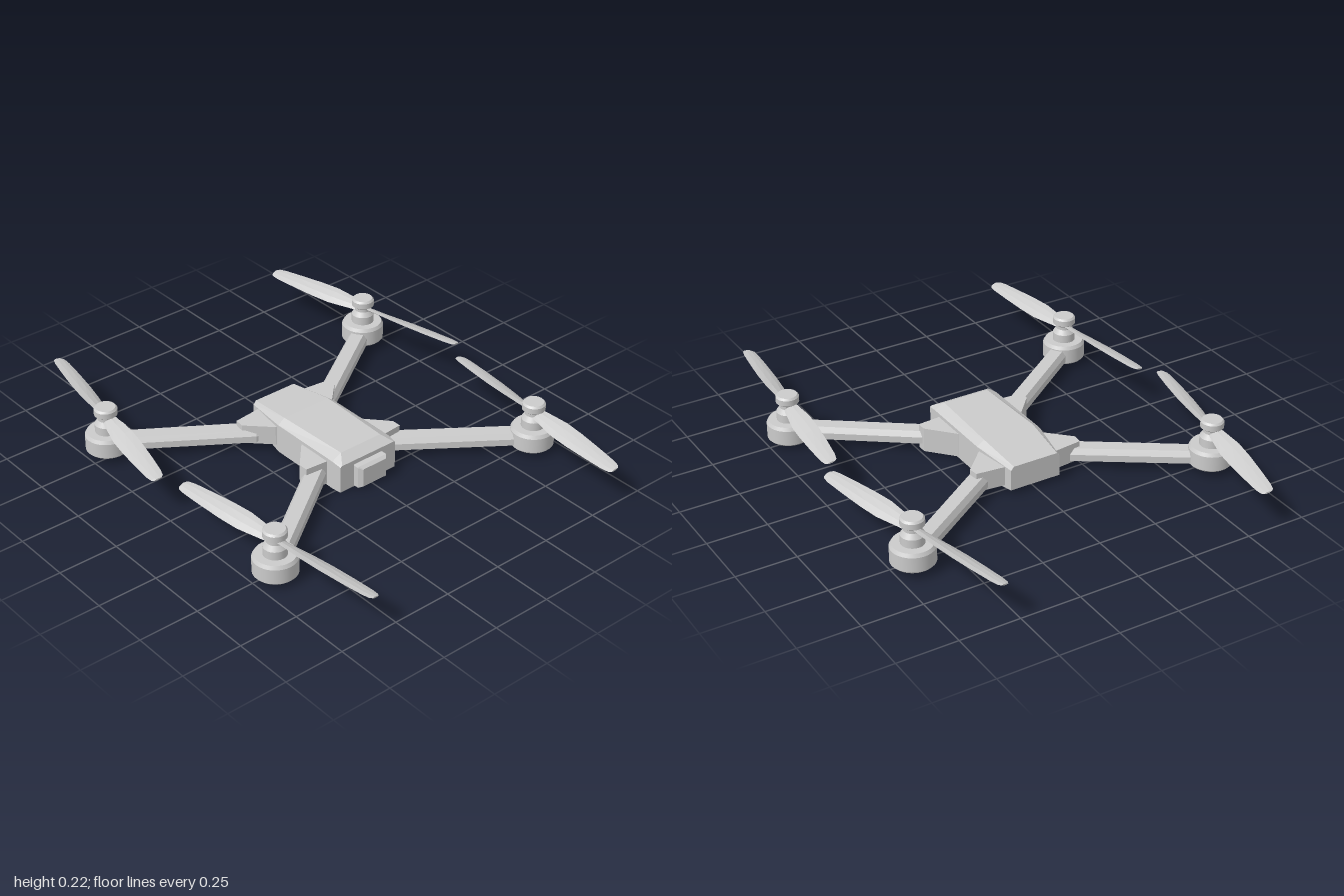
import * as THREE from 'three';

const flat = new THREE.MeshStandardMaterial({ color: 0xcccccc, flatShading: true });
const smooth = new THREE.MeshStandardMaterial({ color: 0xcccccc });

// Skin a list of equal-length rings of [x, y, z] points and cap both ends.
function loft(rings) {
  const tris = [];
  const n = rings[0].length;
  for (let r = 0; r < rings.length - 1; r++) {
    for (let i = 0; i < n; i++) {
      const j = (i + 1) % n;
      const [a, b, c, d] = [rings[r][i], rings[r][j], rings[r + 1][j], rings[r + 1][i]];
      tris.push([a, b, c], [a, c, d]);
    }
  }
  const last = rings[rings.length - 1];
  for (let i = 1; i < n - 1; i++) {
    tris.push([rings[0][0], rings[0][i + 1], rings[0][i]], [last[0], last[i], last[i + 1]]);
  }
  // Turn the faces outward when the enclosed volume comes out negative
  let volume = 0;
  for (const t of tris) {
    const [a, b, c] = t.map((p) => new THREE.Vector3(...p));
    volume += a.dot(b.cross(c));
  }
  if (volume < 0) tris.forEach((t) => t.reverse());
  const g = new THREE.BufferGeometry();
  g.setAttribute('position', new THREE.Float32BufferAttribute(tris.flat(2), 3));
  g.computeVertexNormals();
  return g;
}

function add(parent, name, geometry, material = flat) {
  const mesh = new THREE.Mesh(geometry, material);
  mesh.name = name;
  parent.add(mesh);
  return mesh;
}

// Chamfered section across z at position x
function section(x, half, topHalf, y0, shoulder, y1) {
  return [[x, y0, -half], [x, y0, half], [x, shoulder, half],
    [x, y1, topHalf], [x, y1, -topHalf], [x, shoulder, -half]];
}

// Solid of revolution: radius / height pairs, with sharp creases between bands
function turned(parent, name, profile, sides = 32) {
  const pts = [];
  profile.forEach(([r, y], i) => {
    pts.push(new THREE.Vector2(r, y));
    if (i > 0 && i < profile.length - 1) pts.push(new THREE.Vector2(r, y));
  });
  const group = new THREE.Group();
  group.name = name;
  for (let i = 0; i < pts.length; i += 2) {
    add(group, name + 'Band', new THREE.LatheGeometry([pts[i], pts[i + 1]], sides), smooth);
  }
  parent.add(group);
  return group;
}

// One pitched, tapering propeller blade reaching along +x
function bladeGeometry(side) {
  // radius, half chord, pitch
  const stations = [
    [0.02, 0.026, 0.42], [0.09, 0.034, 0.42], [0.16, 0.042, 0.40], [0.25, 0.042, 0.34],
    [0.36, 0.037, 0.28], [0.45, 0.031, 0.24], [0.48, 0.025, 0.22], [0.49, 0.016, 0.22],
  ];
  return loft(stations.map(([x, half, pitch]) => {
    const t = 0.006 * (1 - x);
    return [[-half, 0], [-half * 0.3, t], [half * 0.4, t], [half, 0], [half * 0.4, -t], [-half * 0.3, -t]]
      .map(([c, h]) => [
        x,
        h * Math.cos(pitch) + side * c * Math.sin(pitch),
        c * Math.cos(pitch) - side * h * Math.sin(pitch),
      ]);
  }));
}

// Arm with hinge block, motor and propeller; s is +1 toward +z, -1 toward -z
function createRotorArm(front, s) {
  const arm = new THREE.Group();
  arm.name = (front ? 'nose' : 'tail') + (s > 0 ? 'Front' : 'Back') + 'RotorArm';
  const [mx, mz] = front ? [0.516, 0.655] : [-0.527, 0.667];
  const [rx, rz] = front ? [0.15, 0.15] : [-0.18, 0.15];
  const drop = front ? -0.008 : 0;

  // Beam
  const length = Math.hypot(mx - rx, mz - rz);
  const beam = add(arm, 'armBeam', loft([
    section(0, 0.025, 0.015, 0.052, 0.062, 0.07),
    section(0.035, 0.042, 0.028, 0.037, 0.065, 0.087),
    section(length, 0.04, 0.026, 0.037, 0.065, 0.087),
  ]));
  beam.position.set(rx, drop / 2, s * rz);
  beam.rotation.y = -Math.atan2(s * (mz - rz), mx - rx);

  // Hinge block, a wedge standing out from the body side
  const outline = front
    ? [[0.03, 0.12], [0.045, 0.145], [0.15, 0.24], [0.19, 0.24], [0.2, 0.12]]
    : [[-0.265, 0.1], [-0.25, 0.235], [-0.21, 0.24], [-0.115, 0.145], [-0.1, 0.12]];
  const y0 = front ? 0.006 : 0.028;
  add(arm, 'hingeBlock', loft([y0, 0.11].map((y) => outline.map(([x, z]) => [x, y, s * z]))));

  // Motor can and rotor hub
  const rotor = new THREE.Group();
  rotor.name = 'rotor';
  rotor.position.set(mx, drop, s * mz);
  arm.add(rotor);
  turned(rotor, 'motor', [[0, 0.026], [0.08, 0.026], [0.088, 0.034], [0.088, 0.096],
    [0.08, 0.11], [0, 0.11]]);
  turned(rotor, 'hub', [[0.047, 0.1], [0.047, 0.145], [0.034, 0.165], [0.034, 0.178],
    [0.047, 0.188], [0.047, 0.212], [0.04, 0.22], [0, 0.22]], 24);

  // Two-bladed propeller, mirrored front to back
  const propeller = new THREE.Group();
  propeller.name = 'propeller';
  propeller.position.y = 0.174;
  const tilt = front ? 0.11 : -0.2;
  propeller.rotation.y = s * tilt;
  const pitchSide = front ? s : -s;
  for (const turn of [0, Math.PI]) {
    // The blade toward +x falls to -z on noseFront and tailBack rotors
    const lit = front ? 1 : -1;
    const blade = add(propeller, 'blade', bladeGeometry(pitchSide * s * lit * (s * lit > 0 ? 1 : -1)));
    blade.rotation.y = turn;
  }
  rotor.add(propeller);
  return arm;
}

export function createModel() {
  const model = new THREE.Group();
  model.name = 'quadcopter';

  // Body shell, nose toward +x
  add(model, 'body', loft([
    section(-0.3, 0.11, 0.098, 0.022, 0.11, 0.125),
    section(-0.1, 0.143, 0.112, 0, 0.125, 0.148),
    section(0.23, 0.143, 0.1, 0, 0.125, 0.148),
    section(0.275, 0.14, 0.132, 0.002, 0.118, 0.123),
  ]));

  // Camera housing and lens plate on the nose
  add(model, 'cameraHousing', loft([
    section(0.25, 0.072, 0.07, 0.008, 0.1, 0.105),
    section(0.3, 0.072, 0.07, 0.008, 0.1, 0.105),
    section(0.315, 0.058, 0.056, 0.016, 0.092, 0.096),
  ]));

  for (const front of [true, false]) {
    for (const s of [1, -1]) model.add(createRotorArm(front, s));
  }
  return model;
}
